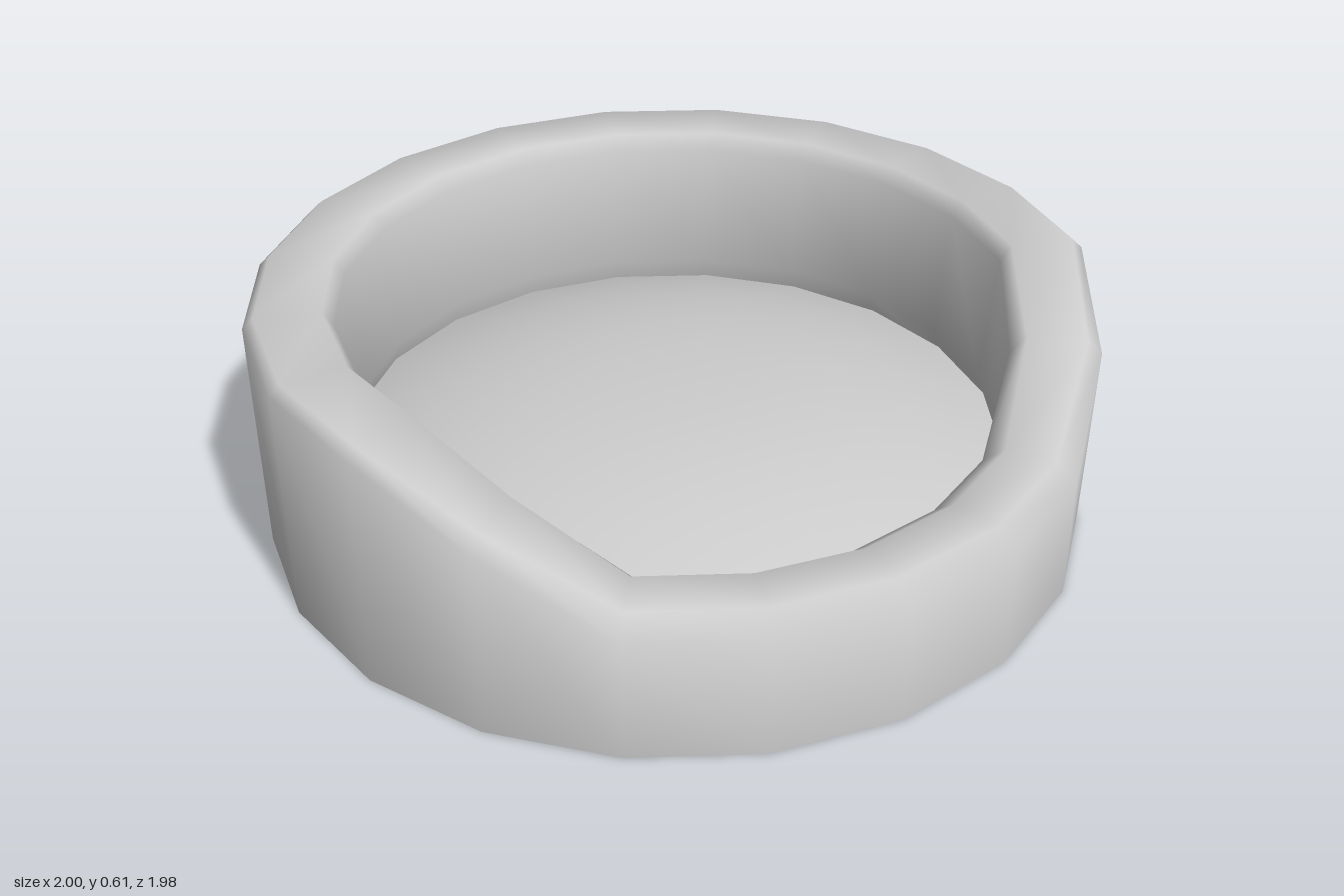
import * as THREE from 'three';
import { toCreasedNormals } from 'three/addons/utils/BufferGeometryUtils.js';

const SIDES = 20;
const LOW = 0.345, HIGH = 0.61;
const material = new THREE.MeshStandardMaterial({ color: 0xcccccc });

// Rim height at each side, counted from the front: low entry, slope, high back
function rimHeight(i) {
  const step = Math.min(i, SIDES - i);
  return step <= 2 ? LOW : step === 3 ? 0.5 : HIGH;
}

// Cross-section of the wall [radius, y], from the underside over the rim to the inside
function wallProfile(h) {
  const t = (h - LOW) / (HIGH - LOW);
  const mix = (a, b) => THREE.MathUtils.lerp(a, b, t);
  return [
    [0, 0],
    [0.987, 0],
    [mix(0.99, 1.0), h - mix(0.045, 0.025)],
    [mix(0.94, 0.975), h],
    [0.82, h],
    [mix(0.77, 0.795), h - 0.04],
    [0.768, 0.25],
    [0.8, 0.16],
  ];
}

function lathe(profile) {
  return new THREE.LatheGeometry(profile.map(([r, y]) => new THREE.Vector2(r, y)), SIDES);
}

function addMesh(group, name, geometry, crease) {
  const mesh = new THREE.Mesh(toCreasedNormals(geometry, crease), material);
  mesh.name = name;
  group.add(mesh);
}

export function createModel() {
  const group = new THREE.Group();
  group.name = 'petBed';

  // Padded wall: a lathe whose section follows the rim height around the ring,
  // with the high rim leaning slightly forward
  const wall = lathe(wallProfile(HIGH));
  const pos = wall.attributes.position;
  const rows = wallProfile(HIGH).length;
  for (let i = 0; i <= SIDES; i++) {
    const angle = (i / SIDES) * Math.PI * 2;
    wallProfile(rimHeight(i)).forEach(([r, y], j) => {
      const lean = 0.01 * Math.max(0, (y - LOW) / (HIGH - LOW));
      pos.setXYZ(i * rows + j, r * Math.sin(angle), y, r * Math.cos(angle) + lean);
    });
  }
  addMesh(group, 'wall', wall, Math.PI / 2.6);

  // Domed cushion tucked into the wall
  const dome = [];
  for (let k = 0; k <= 8; k++) {
    const r = 0.8 * (1 - k / 8);
    dome.push([r, 0.34 - 0.26 * Math.pow(r, 2.4)]);
  }
  addMesh(group, 'cushion', lathe(dome), Math.PI / 3);

  return group;
}
